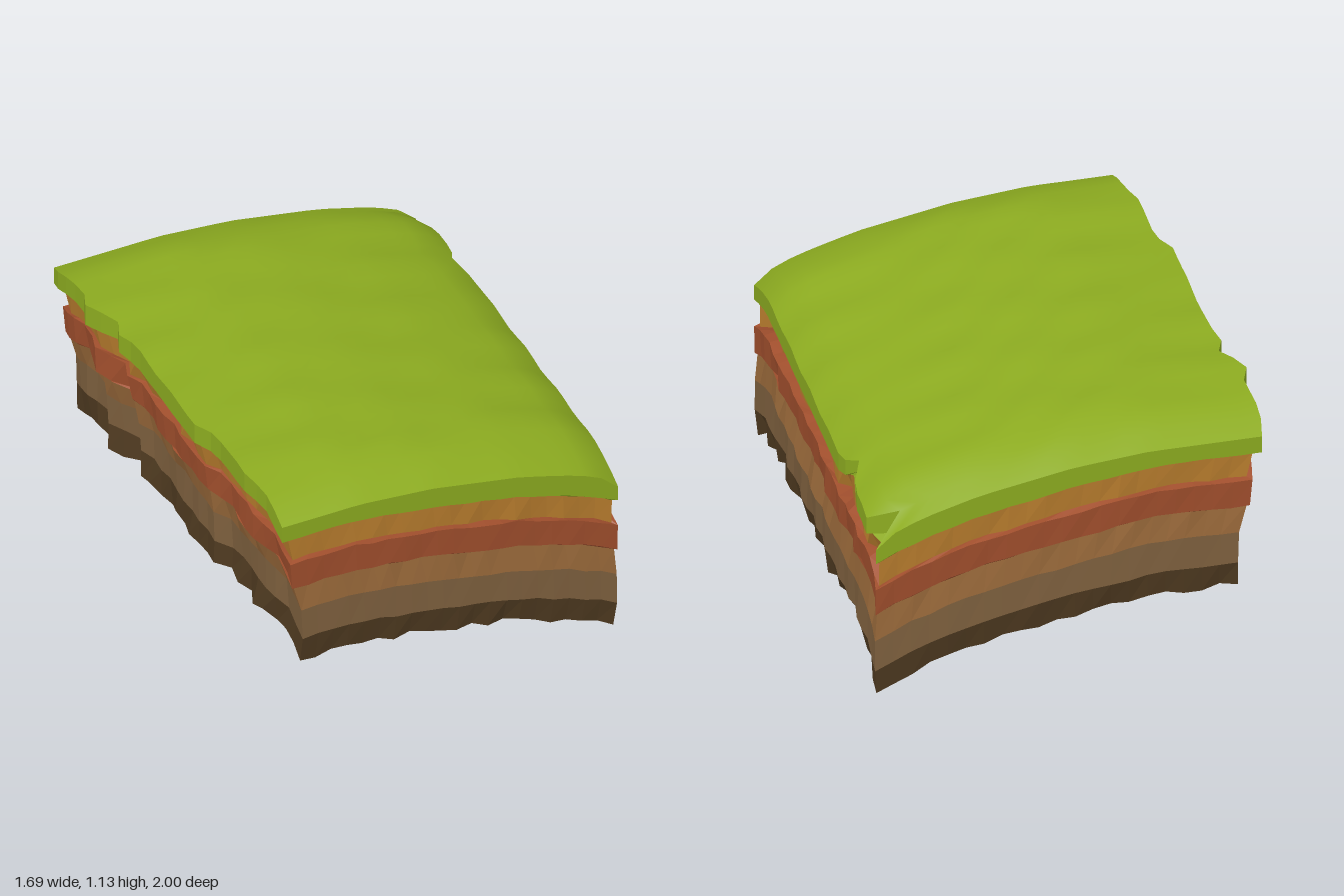
import * as THREE from 'three';

const NX = 20, NZ = 26; // divisions along x and z
const { smoothstep, lerp } = THREE.MathUtils;

// piecewise-linear curve through [t, value] pairs
const curve = (pts) => (t) => {
  if (t <= pts[0][0]) return pts[0][1];
  for (let i = 1; i < pts.length; i++) {
    const [a, va] = pts[i - 1], [b, vb] = pts[i];
    if (t <= b) return lerp(va, vb, (t - a) / (b - a));
  }
  return pts[pts.length - 1][1];
};

// seeded noise in -1..1
const noise = (i, k) => {
  const s = Math.sin(i * 127.1 + k * 311.7) * 43758.5453;
  return (s - Math.floor(s)) * 2 - 1;
};
// triangular bump of height 1 around c
const bump = (t, c, w) => Math.max(0, 1 - Math.abs(t - c) / w);

// slope of the strata, and the ragged left edge of the turf
const slope = curve([[-0.85, 0.955], [-0.35, 0.965], [0, 0.92], [0.4, 0.845], [0.6, 0.785], [0.75, 0.73], [0.85, 0.68]]);
const leftEdge = curve([[-1, -0.81], [-0.9, -0.83], [-0.7, -0.81], [-0.6, -0.85], [-0.47, -0.76], [-0.4, -0.8], [-0.28, -0.77],
  [0.33, -0.77], [0.4, -0.72], [0.72, -0.72], [0.8, -0.69], [1, -0.69]]);
const turfLift = curve([[-0.85, 0.08], [-0.4, 0.078], [0, 0.098], [0.4, 0.103], [0.7, 0.108], [0.8, 0.1], [0.85, 0.07]]);

// two bites taken out of the turf's right edge
const bite = (z) => 0.05 * bump(z, -0.54, 0.1) + 0.13 * bump(z, -0.92, 0.06);
const turfX = (u, z) => lerp(leftEdge(z), 0.85, u) - bite(z) * smoothstep(u, 0.7, 1);
const turfY = (x, z) => {
  const t = Math.max(0, (Math.abs(z) - 0.72) / 0.28);
  const ripple = 0.005 * Math.sin(9 * x + 21 * z + 2 * Math.sin(5 * x)) + 0.004 * Math.sin(17 * z - 7 * x);
  return slope(x) + turfLift(x) + 0.083 * (1 - t ** 1.8) + ripple * (1 - t);
};

// perimeter stations, counter-clockwise seen from above: front, right, back, left
const stations = [];
for (let i = 0; i < NX; i++) stations.push({ u: i / NX, z: 1, side: 'front' });
for (let j = 0; j < NZ; j++) stations.push({ u: 1, z: 1 - 2 * j / NZ, side: 'right' });
for (let i = 0; i < NX; i++) stations.push({ u: 1 - i / NX, z: -1, side: 'back' });
for (let j = 0; j < NZ; j++) stations.push({ u: 0, z: -1 + 2 * j / NZ, side: 'left' });

const turfRim = () => stations.map(({ u, z }) => {
  const x = turfX(u, z);
  return new THREE.Vector3(x, turfY(x, z), z);
});

// one ring of the wall: drop below the turf, insets of the left side, right side and
// front/back ends, roughness of the sides, height jitter
function ring(k, { drop, left = 0, right = 0, end = 0, rough = 0, jitter = 0.006, turf = false }) {
  return stations.map(({ u, z, side }, i) => {
    const corner = Math.abs(z) === 1 && (u === 0 || u === 1);
    const n = noise(i, k);
    let x = turf ? turfX(u, z) : lerp(leftEdge(z) + left, 0.85 - right, u);
    let zz = z * (1 - end);
    if (!corner) {
      if (side === 'right') x -= rough * (0.5 + 0.5 * n);
      else if (side === 'left') x += Math.min(rough, 0.03) * 0.6 * n;
      else zz -= Math.sign(z) * rough * 0.25 * (0.5 + 0.5 * n);
    }
    const raise = 0.065 * (1 - Math.max(0, (Math.abs(z) - 0.82) / 0.18));
    let y = slope(x + right * u) - drop + raise + (corner ? 0 : jitter * noise(i, k + 40));
    if (side === 'right') y += 0.07 * bump(z, -0.55, 0.12) * Math.max(0, 1 - drop / 0.25);
    return new THREE.Vector3(x, Math.max(0, y), zz);
  });
}

// faceted strip between two closed rings
function strip(upper, lower) {
  const pos = [], n = upper.length;
  for (let i = 0; i < n; i++) {
    const a = upper[i], b = upper[(i + 1) % n], c = lower[i], d = lower[(i + 1) % n];
    for (const p of [a, c, b, b, c, d]) pos.push(p.x, p.y, p.z);
  }
  const g = new THREE.BufferGeometry();
  g.setAttribute('position', new THREE.Float32BufferAttribute(pos, 3));
  g.computeVertexNormals();
  return g;
}

// smooth ground surface
function turfSurface() {
  const g = new THREE.PlaneGeometry(2, 2, NX, NZ).rotateX(-Math.PI / 2);
  const p = g.attributes.position;
  for (let i = 0; i < p.count; i++) {
    const z = -1 + 2 * Math.floor(i / (NX + 1)) / NZ;
    const x = turfX((i % (NX + 1)) / NX, z);
    p.setXYZ(i, x, turfY(x, z), z);
  }
  g.computeVertexNormals();
  return g;
}

export function createModel() {
  const group = new THREE.Group();
  const material = (name, color) => {
    const m = new THREE.MeshStandardMaterial({ color, side: THREE.DoubleSide });
    m.name = name;
    return m;
  };
  const mats = {
    grass: material('grass green', 0x8cab20),
    ochre: material('ochre soil', 0xba7e2e),
    clay: material('red clay', 0xa14f2d),
    loam: material('brown loam', 0x99693a),
    stone: material('grey brown earth', 0x7e603e),
    deep: material('dark earth', 0x503b21),
  };
  const add = (name, geometry, mat) => {
    const mesh = new THREE.Mesh(geometry, mat);
    mesh.name = name;
    group.add(mesh);
  };

  // rings from the turf rim down to the open bottom
  const rim = turfRim();
  const turfBottom = ring(1, { drop: 0, jitter: 0.003, turf: true });
  const ochreTop = ring(2, { drop: 0.008, left: 0.035, right: 0.02, end: 0.02, rough: 0.03, jitter: 0.003 });
  const ochreBottom = ring(3, { drop: 0.13, left: 0.06, right: 0.02, end: 0.025, rough: 0.05 });
  const clayTop = ring(4, { drop: 0.135, left: 0.04, end: 0.004, rough: 0.015 });
  const clayBottom = ring(5, { drop: 0.265, left: 0.05, end: 0.008, rough: 0.025 });
  const loamTop = ring(6, { drop: 0.268, left: 0.06, right: 0.01, end: 0.02, rough: 0.045 });
  const loamBottom = ring(7, { drop: 0.4, left: 0.095, end: 0.015, rough: 0.012 });
  const stoneBottom = ring(8, { drop: 0.55, left: 0.1, end: 0.012, rough: 0.015 });
  const deepBottom = ring(9, { drop: 0.672, left: 0.095, right: 0.01, end: 0.028, rough: 0.055, jitter: 0.014 });

  add('turfSurface', turfSurface(), mats.grass);
  add('turfLip', strip(rim, turfBottom), mats.grass);
  add('turfUnderside', strip(turfBottom, ochreTop), mats.grass);
  add('ochreLayer', strip(ochreTop, ochreBottom), mats.ochre);
  add('clayLedge', strip(ochreBottom, clayTop), mats.clay);
  add('clayLayer', strip(clayTop, clayBottom), mats.clay);
  add('clayUnderside', strip(clayBottom, loamTop), mats.clay);
  add('loamLayer', strip(loamTop, loamBottom), mats.loam);
  add('stoneLayer', strip(loamBottom, stoneBottom), mats.stone);
  add('deepLayer', strip(stoneBottom, deepBottom), mats.deep);
  return group;
}
